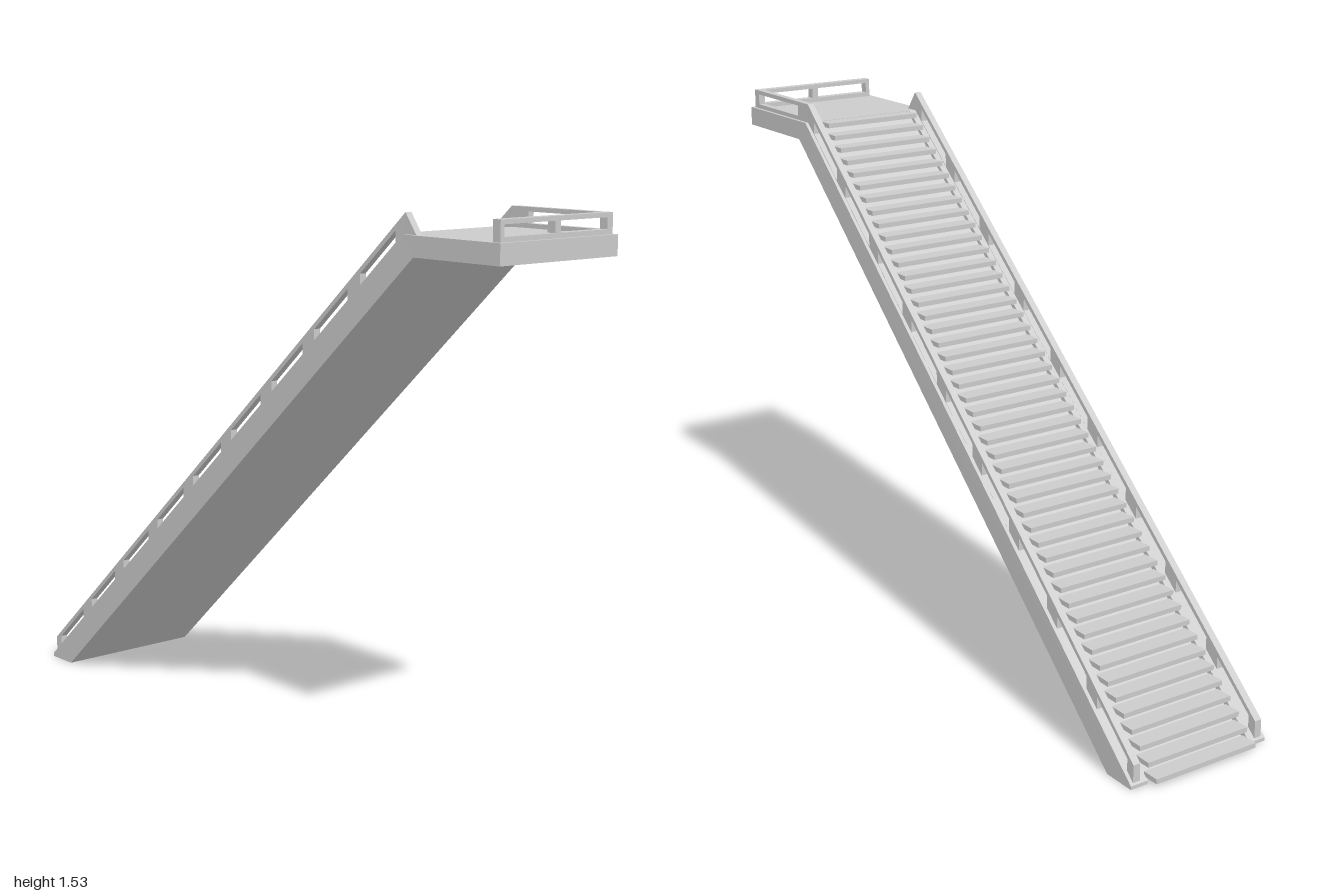
import * as THREE from 'three';

const material = new THREE.MeshStandardMaterial({ color: 0xcccccc, flatShading: true });
const SLOPE = 0.9015;   // rise over run of the flight
const TOP_Z = 0.66;     // where the flight meets the landing

// heights of the stringer top and handrail top along the flight
const stringerY = z => 1.475 - (TOP_Z - z) * SLOPE;
const railY = z => 1.53 - (TOP_Z - z) * SLOPE;

// the flight widens evenly toward its foot
function flare(geometry) {
  const p = geometry.attributes.position;
  for (let i = 0; i < p.count; i++) {
    const run = Math.max(0, TOP_Z - p.getZ(i));
    p.setX(i, p.getX(i) * (1 + run * 0.0585));
  }
  geometry.computeVertexNormals();
  return geometry;
}

function makeShape(points, holes = []) {
  const shape = new THREE.Shape(points.map(([a, b]) => new THREE.Vector2(a, b)));
  for (const hole of holes) {
    shape.holes.push(new THREE.Path(hole.map(([a, b]) => new THREE.Vector2(a, b))));
  }
  return shape;
}

// side profile given as (z, y), extruded from x0 to x1
function sidePart(name, points, x0, x1, holes) {
  const g = new THREE.ExtrudeGeometry(makeShape(points, holes), { depth: x1 - x0, bevelEnabled: false });
  g.rotateY(-Math.PI / 2);
  g.translate(x1, 0, 0);
  const mesh = new THREE.Mesh(flare(g), material);
  mesh.name = name;
  return mesh;
}

const rect = (a0, b0, a1, b1) => [[a0, b0], [a1, b0], [a1, b1], [a0, b1]];

export function createModel() {
  const model = new THREE.Group();
  model.name = 'staircase';

  // landing with the bend into the flight
  model.add(sidePart('landing',
    [[0.7, 1.42], [1, 1.42], [1, 1.475], [TOP_Z, 1.475], [TOP_Z, 1.384]], -0.21, 0.21));

  // closed core under the steps, slightly lower than the stringers
  model.add(sidePart('stairCore',
    [[-0.87, 0], [0.7, 1.42], [0.7, 1.46], [TOP_Z, 1.46], [-0.955, 0]], -0.162, 0.162));

  // openings along the sloping handrails
  const openings = [];
  for (let i = 0; i < 9; i++) {
    const z1 = 0.625 - i * 0.179, z0 = z1 - 0.132;
    openings.push([
      [z0, stringerY(z0) + 0.003], [z1, stringerY(z1) + 0.003],
      [z1, railY(z1) - 0.016], [z0, railY(z0) - 0.016],
    ]);
  }

  // stringers and sloping handrails on both sides
  for (const side of [-1, 1]) {
    const label = side > 0 ? 'left' : 'right';
    const span = (a, b) => side > 0 ? [a, b] : [-b, -a];
    model.add(sidePart(label + 'Stringer',
      [[-0.97, 0], [-0.87, 0], [0.7, 1.42], [0.7, 1.475], [TOP_Z, 1.475], [-0.97, 0.01]],
      ...span(0.16, 0.21)));
    model.add(sidePart(label + 'Handrail',
      [[-0.965, 0.005], [TOP_Z, 1.472], [0.7, 1.475], [TOP_Z, 1.53], [-0.965, 0.065]],
      ...span(0.18, 0.2), openings));
  }

  // guard rail on the left edge of the landing
  model.add(sidePart('landingSideRail', rect(TOP_Z, 1.473, 0.99, 1.53), 0.18, 0.2,
    [rect(0.72, 1.487, 0.965, 1.518)]));

  // guard rail across the front of the landing
  const front = new THREE.ExtrudeGeometry(
    makeShape(rect(-0.2, 1.473, 0.2, 1.53),
      [rect(-0.187, 1.488, -0.01, 1.518), rect(0.01, 1.488, 0.187, 1.518)]),
    { depth: 0.025, bevelEnabled: false });
  front.translate(0, 0, 0.965);
  const frontRail = new THREE.Mesh(front, material);
  frontRail.name = 'landingFrontRail';
  model.add(frontRail);

  // treads
  const steps = new THREE.Group();
  steps.name = 'steps';
  const count = 47;
  for (let i = 0; i < count; i++) {
    const g = new THREE.BoxGeometry(0.31, 0.014, 0.052);
    g.translate(0, 0.018 + i * 0.0315, -0.974 + i * 0.0351);
    const tread = new THREE.Mesh(flare(g), material);
    tread.name = 'tread';
    steps.add(tread);
  }
  model.add(steps);

  return model;
}
